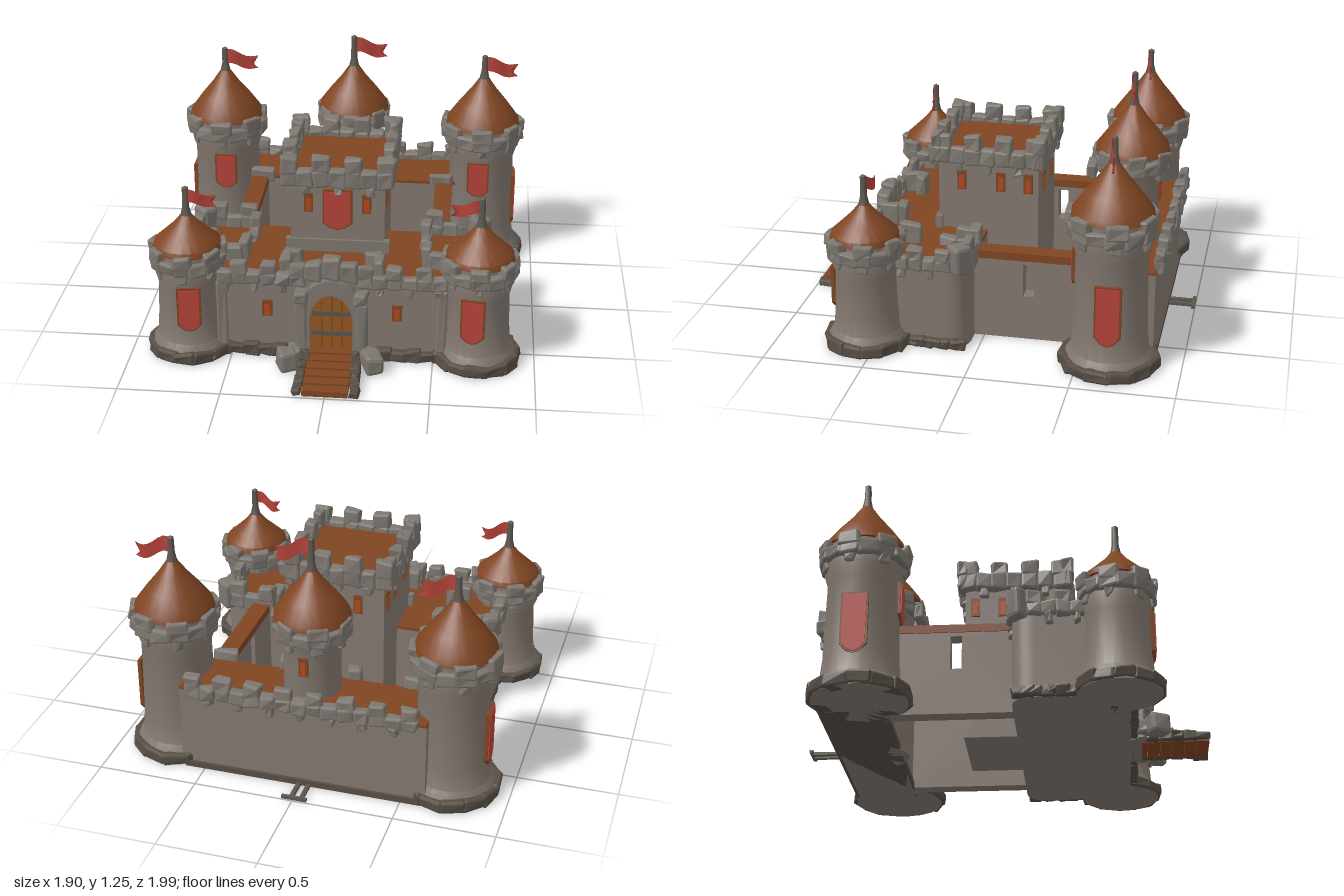
import * as THREE from 'three';
import { mergeGeometries, toCreasedNormals } from 'three/addons/utils/BufferGeometryUtils.js';
import { RoundedBoxGeometry } from 'three/addons/geometries/RoundedBoxGeometry.js';

const mat = (name, color, side = THREE.FrontSide) => {
  const m = new THREE.MeshStandardMaterial({ color, side });
  m.name = name;
  return m;
};

export function createModel() {
  const root = new THREE.Group();
  root.name = 'castle';
  const wallStone = mat('wallStone', 0x82776f), trimStone = mat('trimStone', 0x7c766f);
  const baseStone = mat('baseStone', 0x564d44), wood = mat('roofBrown', 0x7f4522);
  const gateWood = mat('gateWood', 0x96581f), iron = mat('iron', 0x5c554e);
  const red = mat('bannerRed', 0xb5433a, THREE.DoubleSide), ember = mat('windowOrange', 0xb0481f);

  let seed = 7;
  const rnd = () => ((seed = (seed * 16807) % 2147483647) / 2147483647) * 2 - 1;

  const add = (name, geo, material, x = 0, y = 0, z = 0, parent = root) => {
    const m = new THREE.Mesh(geo, material);
    m.name = name;
    m.position.set(x, y, z);
    parent.add(m);
    return m;
  };
  const box = (name, material, x0, x1, y0, y1, z0, z1) =>
    add(name, new THREE.BoxGeometry(x1 - x0, y1 - y0, z1 - z0), material, (x0 + x1) / 2, (y0 + y1) / 2, (z0 + z1) / 2);

  // Rough hewn block: chamfered box whose eight corners wander
  const block = (w, h, d, x, y, z, turn = 0, rough = 0.007) => {
    const g = new RoundedBoxGeometry(w, h, d, 1, Math.min(w, h, d) * 0.2);
    const off = Array.from({ length: 8 }, () => [rnd() * rough, rnd() * rough, rnd() * rough]);
    const p = g.attributes.position;
    for (let i = 0; i < p.count; i++) {
      const o = off[(p.getX(i) > 0) + 2 * (p.getY(i) > 0) + 4 * (p.getZ(i) > 0)];
      p.setXYZ(i, p.getX(i) + o[0], Math.max(p.getY(i) + o[1], -y), p.getZ(i) + o[2]);
    }
    g.computeVertexNormals();
    return g.rotateY(turn).translate(x, y, z);
  };
  const stones = (name, list, material = trimStone) => add(name, mergeGeometries(list), material);

  // Straight parapet: corbels, a course of blocks, alternating merlons
  const parapet = (name, x0, z0, x1, z1, y, top, thick = 0.055) => {
    const len = Math.hypot(x1 - x0, z1 - z0), n = Math.max(2, Math.round(len / 0.075));
    const turn = -Math.atan2(z1 - z0, x1 - x0), list = [], w = len / n;
    const h = (top - y) * 0.58;
    for (let i = 0; i < n; i++) {
      const t = (i + 0.5) / n, x = x0 + (x1 - x0) * t, z = z0 + (z1 - z0) * t;
      list.push(block(w * 1.05, h, thick, x, y + h / 2, z, turn));
      if (i % 2 === 0) list.push(block(w * 1.1, top - y - h + 0.02, thick * 0.95, x, (top + y + h - 0.02) / 2, z, turn));
      else list.push(block(w * 0.5, 0.05, thick * 0.85, x, y - 0.015, z, turn));
    }
    stones(name, list);
  };
  // Ring of blocks
  const ring = (list, cx, cz, r, y0, y1, n, step = 1, fill = 1.08, thick = 0.055) => {
    for (let i = 0; i < n; i += step) {
      const a = (i / n) * Math.PI * 2;
      list.push(block((2 * Math.PI * r / n) * fill, y1 - y0, thick, cx + Math.sin(a) * (r - thick / 2), (y0 + y1) / 2, cz + Math.cos(a) * (r - thick / 2), a));
    }
    return list;
  };
  const lathe = (pts) => toCreasedNormals(new THREE.LatheGeometry(pts.map(p => new THREE.Vector2(...p)), 22), 0.6);

  // Swallow-tailed flag bent by a wave
  const flag = (x, y, z, w, dir) => {
    const g = new THREE.PlaneGeometry(w, w * 0.46, 8, 2), p = g.attributes.position;
    for (let i = 0; i < p.count; i++) {
      const t = p.getX(i) / w + 0.5, mid = Math.abs(p.getY(i)) < 0.001;
      const px = t * w - (mid && t > 0.95 ? w * 0.24 : 0);
      p.setXYZ(i, dir * px, p.getY(i) * (1 - 0.15 * t) - 0.22 * w * t + Math.sin(t * 7) * 0.07 * w, Math.sin(t * 6) * 0.012 - 0.01 * t);
    }
    g.computeVertexNormals();
    add('flag', g, red, x, y, z);
  };

  // Heraldic plate with a wooden border; turn 0 faces +z
  const plate = (w, h, depth) => {
    const s = new THREE.Shape([[-w / 2, h / 2], [-w / 2, -h * 0.34], [-w * 0.25, -h * 0.46], [0, -h / 2],
      [w * 0.25, -h * 0.46], [w / 2, -h * 0.34], [w / 2, h / 2]].map(p => new THREE.Vector2(...p)));
    return new THREE.ExtrudeGeometry(s, { depth, bevelEnabled: false });
  };
  const shield = (x, y, z, w, h, turn = 0) => {
    const g = new THREE.Group();
    g.name = 'shield';
    g.position.set(x, y, z);
    g.rotation.y = turn;
    add('shieldBorder', plate(w + 0.018, h + 0.018, 0.018), wood, 0, 0, -0.01, g);
    add('shieldFace', plate(w, h, 0.007), red, 0, 0, 0.006, g);
    root.add(g);
  };
  const windowSlit = (x, y, z, w, h, turn = 0) => {
    const g = new THREE.Group();
    g.name = 'window';
    g.position.set(x, y, z);
    g.rotation.y = turn;
    add('windowFrame', new THREE.BoxGeometry(w, h, 0.016), wood, 0, 0, 0, g);
    add('windowPane', new THREE.BoxGeometry(w * 0.55, h * 0.7, 0.008), ember, 0, -h * 0.08, 0.007, g);
    root.add(g);
  };

  // Round tower: r body radius, R parapet radius, yb parapet bottom, yr roof base, ya roof apex, yp pole top
  const tower = (name, x, z, r, R, yb, yr, ya, yp, rr, flagDir, footR) => {
    const f = footR || r;
    add(name + 'Body', lathe([[0, 0], [f, 0], [f * 0.97, 0.05], [r * 1.06, 0.09], [r, 0.2], [r * 0.96, yb - 0.06], [r * 1.06, yb], [R - 0.03, yb + 0.04], [R - 0.03, yr], [0, yr]]), wallStone, x, 0, z);
    const list = ring([], x, z, R, yb + 0.03, yr - 0.035, 14);
    ring(list, x, z, R + 0.005, yr - 0.06, yr + 0.01, 14, 2);
    ring(list, x, z, R - 0.012, yb - 0.01, yb + 0.05, 14, 2, 0.6);
    stones(name + 'Parapet', list);
    const h = ya - yr;
    add(name + 'Roof', lathe([[0, yr - 0.02], [rr, yr - 0.01], [rr * 0.96, yr + 0.02], [rr * 0.66, yr + h * 0.42], [rr * 0.36, yr + h * 0.72], [0.025, ya], [0, ya]]), wood, x, 0, z);
    add(name + 'Pole', lathe([[0, ya - 0.06], [0.042, ya - 0.06], [0.026, ya], [0.017, ya + 0.04], [0.015, yp - 0.01], [0, yp]]), iron, x, 0, z);
    flag(x, yp - 0.055, z, flagDir * flagDir * (yr > 0.7 ? 0.18 : 0.15), Math.sign(flagDir));
    if (footR) stones(name + 'Footing', ring([], x, z, footR + 0.01, 0, 0.06, 13, 1, 1.08, 0.09), baseStone);
  };
  for (const s of [-1, 1]) {
    tower('frontTower', s * 0.715, 0.55, 0.155, 0.185, 0.44, 0.57, 0.73, 0.88, 0.17, -s, 0.2);
    shield(s * 0.69, 0.285, 0.706, 0.1, 0.22, -s * 0.12);
    tower('backTower', s * 0.705, -0.65, 0.18, 0.215, 0.65, 0.785, 1.03, 1.16, 0.2, 1, 0.23);
    shield(s * 0.882, 0.325, -0.66, 0.11, 0.29, s * Math.PI / 2);
    shield(s * 0.69, 0.5, -0.475, 0.1, 0.18);
  }
  tower('middleTower', 0, -0.65, 0.145, 0.19, 0.72, 0.85, 1.08, 1.25, 0.19, 1);
  windowSlit(0, 0.63, -0.792, 0.045, 0.1, Math.PI);

  // Front ward with rounded rear corners
  const ward = new THREE.Shape();
  ward.moveTo(-0.7, -0.6).lineTo(0.7, -0.6).lineTo(0.72, -0.16).quadraticCurveTo(0.72, -0.05, 0.6, -0.05)
    .lineTo(-0.6, -0.05).quadraticCurveTo(-0.72, -0.05, -0.72, -0.16);
  const slab = (name, y0, y1, material) => add(name, toCreasedNormals(
    new THREE.ExtrudeGeometry(ward, { depth: y1 - y0, bevelEnabled: false }).rotateX(-Math.PI / 2), 0.6), material, 0, y0, 0);
  slab('frontWard', 0, 0.42, wallStone);
  slab('frontDeck', 0.42, 0.435, wood);
  for (const s of [-1, 1]) {
    parapet('frontParapet', s * 0.13, 0.615, s * 0.56, 0.615, 0.4, 0.52);
    parapet('sideParapet', s * 0.725, 0.13, s * 0.725, 0.4, 0.41, 0.53);
    parapet('rearParapet', s * 0.68, 0.055, s * 0.44, 0.055, 0.41, 0.56);
    parapet('innerParapet', s * 0.44, 0.07, s * 0.44, 0.24, 0.41, 0.53);
    stones('parapetEnds', [block(0.09, 0.15, 0.09, s * 0.705, 0.475, 0.085, s * 0.8),
      block(0.05, 0.11, 0.11, s * 0.455, 0.48, 0.39), block(0.08, 0.09, 0.05, s * 0.5, 0.47, 0.44),
      block(0.09, 0.12, 0.05, s * 0.2, 0.48, 0.5), block(0.05, 0.12, 0.1, s * 0.23, 0.48, 0.56)]);
    windowSlit(s * 0.32, 0.26, 0.602, 0.05, 0.085);
    // Sloping buttress beside each front tower
    stones('buttress', [block(0.05, 0.4, 0.06, s * 0.54, 0.2, 0.6)], wallStone);
  }
  stones('wardFooting', Array.from({ length: 14 }, (_, i) => [-1, 1].map(s => i < 6
    ? block(0.08, 0.05 + 0.02 * (i % 2), 0.05, s * (0.19 + i * 0.07), 0.03, 0.61)
    : block(0.05, 0.05, 0.07, s * 0.72, 0.025, 0.09 + (i - 6) * 0.04))).flat(), baseStone);

  // Gate: arched surround, door, iron bands
  const arch = (w, y0, ySpring, rise) => {
    const s = new THREE.Shape();
    s.moveTo(-w, y0).lineTo(w, y0).lineTo(w, ySpring).quadraticCurveTo(w * 0.85, rise - 0.02, 0, rise)
      .quadraticCurveTo(-w * 0.85, rise - 0.02, -w, ySpring);
    return s;
  };
  const surround = arch(0.15, 0, 0.29, 0.45);
  surround.holes.push(arch(0.105, 0.005, 0.24, 0.37));
  add('gateSurround', new THREE.ExtrudeGeometry(surround, { depth: 0.06, bevelEnabled: false }), trimStone, 0, 0, 0.595);
  add('gateDoor', new THREE.ExtrudeGeometry(arch(0.108, 0, 0.24, 0.37), { depth: 0.02, bevelEnabled: false }), gateWood, 0, 0, 0.595);
  for (const y of [0.14, 0.25]) box('gateBand', iron, -0.1, 0.1, y - 0.012, y + 0.012, 0.612, 0.622);
  for (const x of [-0.05, 0, 0.05]) box('doorSeam', wood, x - 0.003, x + 0.003, 0.06, 0.34, 0.612, 0.618);
  const gateStones = [block(0.09, 0.12, 0.07, 0, 0.51, 0.625)];
  for (const s of [-1, 1]) gateStones.push(block(0.09, 0.1, 0.07, s * 0.085, 0.49, 0.625),
    block(0.05, 0.34, 0.05, s * 0.15, 0.17, 0.645), block(0.07, 0.06, 0.08, s * 0.145, 0.36, 0.645),
    block(0.09, 0.1, 0.1, s * 0.21, 0.05, 0.73, 0.4), block(0.07, 0.07, 0.09, s * 0.18, 0.05, 0.67));
  stones('gateStones', gateStones);

  // Ramp of planks between kerb stones
  const kerb = [];
  for (let i = 0; i < 6; i++) {
    const z = 0.65 + i * 0.06, y = 0.065 - i * 0.007;
    add('rampPlank', new THREE.BoxGeometry(0.22, y, 0.058), wood, 0, y / 2, z + 0.005);
    for (const s of [-1, 1]) kerb.push(block(0.045, y + 0.006, 0.066, s * (0.12 + 0.004 * i), (y + 0.006) / 2, z));
  }
  stones('rampKerb', kerb, baseStone);

  // Keep
  box('keepBody', wallStone, -0.235, 0.235, 0, 0.83, -0.21, 0.3);
  box('keepRoof', wood, -0.24, 0.24, 0.83, 0.85, -0.215, 0.305);
  for (const s of [-1, 1]) {
    parapet('keepSideParapet', s * 0.25, -0.23, s * 0.25, 0.31, 0.79, 0.945, 0.06);
    for (const z of [0.18, -0.02, -0.16]) windowSlit(s * 0.237, 0.7, z, 0.045, 0.1, s * Math.PI / 2);
    windowSlit(s * 0.145, 0.7, 0.302, 0.045, 0.1);
    windowSlit(s * 0.1, 0.68, -0.212, 0.045, 0.1, Math.PI);
  }
  parapet('keepFrontParapet', -0.28, 0.305, 0.28, 0.305, 0.79, 0.95, 0.06);
  parapet('keepBackParapet', -0.28, -0.22, 0.28, -0.22, 0.79, 0.95, 0.06);
  shield(0, 0.67, 0.315, 0.13, 0.2);
  box('keepLedge', trimStone, -0.26, 0.26, 0.435, 0.5, 0.28, 0.315);

  // Rear wall and deck
  box('rearWall', wallStone, -0.62, 0.62, 0, 0.435, -0.85, -0.55);
  box('rearDeck', wood, -0.62, 0.62, 0.435, 0.45, -0.85, -0.545);
  parapet('rearWallParapet', -0.58, -0.865, 0.58, -0.865, 0.42, 0.54);
  const inner = [];
  for (const s of [-1, 1]) inner.push(block(0.12, 0.08, 0.05, s * 0.49, 0.46, -0.53),
    block(0.07, 0.1, 0.07, s * 0.175, 0.46, -0.52), block(0.1, 0.08, 0.05, s * 0.08, 0.75, -0.46));
  stones('rearDeckStones', inner);
  box('rearFooting', baseStone, -0.6, 0.6, 0, 0.03, -0.865, -0.54);

  // Side curtain walls with a window opening and a plank walk
  for (const s of [-1, 1]) {
    const wall = new THREE.Shape([[-0.56, 0], [0.08, 0], [0.08, 0.42], [-0.56, 0.42]].map(p => new THREE.Vector2(...p)));
    wall.holes.push(new THREE.Path([[-0.25, 0.23], [-0.25, 0.4], [-0.195, 0.4], [-0.195, 0.23]].map(p => new THREE.Vector2(...p))));
    add('curtainWall', new THREE.ExtrudeGeometry(wall, { depth: 0.08, bevelEnabled: false }).rotateY(-Math.PI / 2), wallStone, s * 0.505 + 0.04, 0, 0);
    box('curtainWalk', wood, s * 0.505 - 0.045, s * 0.505 + 0.045, 0.42, 0.46, -0.55, 0.06);
  }

  // Loose beams behind the rear wall
  for (const x of [-0.04, 0.01]) box('looseBeam', iron, x - 0.01, x + 0.01, 0, 0.015, -0.99, -0.86);
  box('looseCrossBeam', iron, -0.07, 0.055, 0.005, 0.02, -1, -0.982);
  return root;
}
